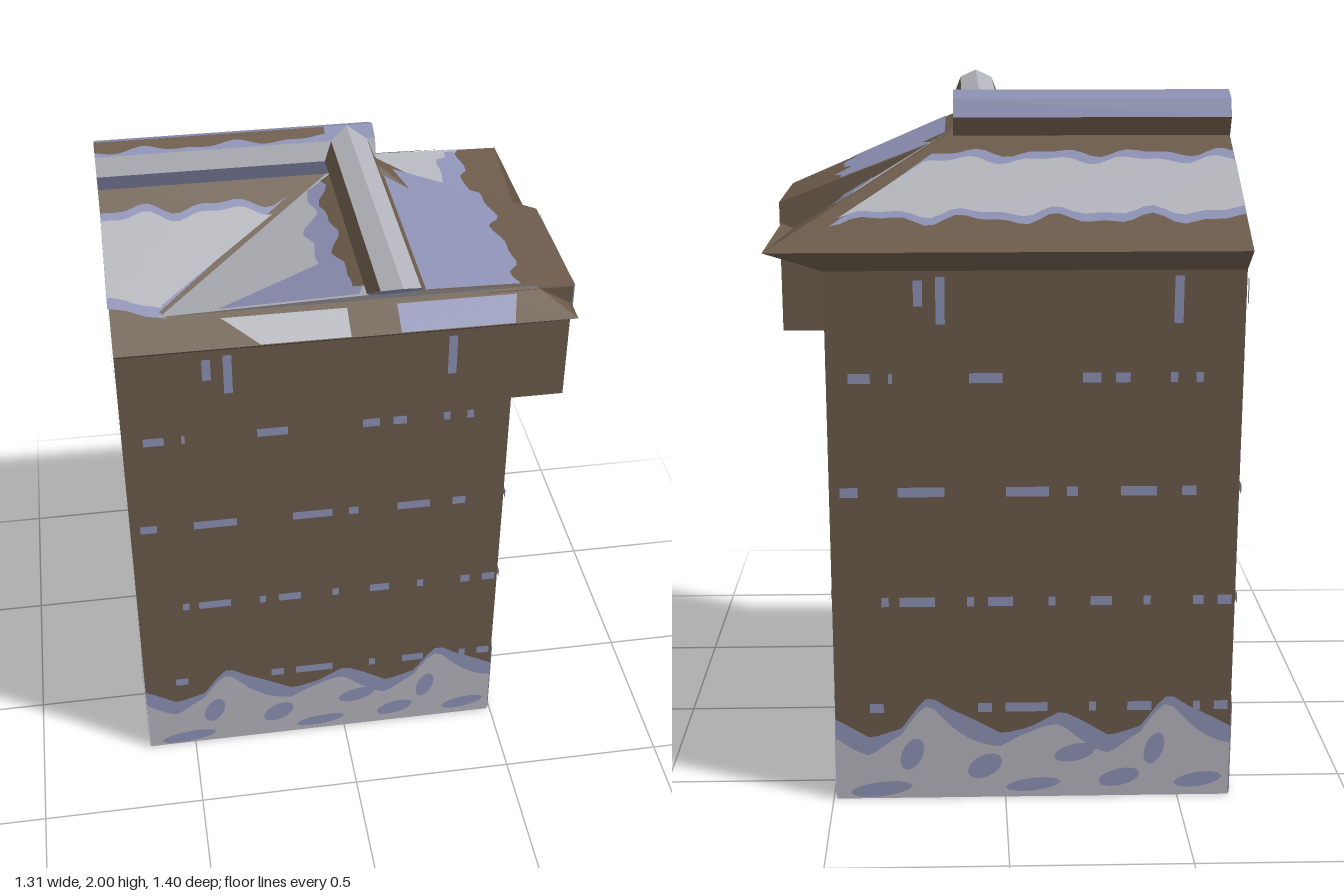
import * as THREE from 'three';

const paint = (name, color) => Object.assign(new THREE.MeshStandardMaterial({ color, side: THREE.DoubleSide }), { name });

export function createModel() {
  const brown = paint('weathered brown', 0x6a5949);
  const light = paint('pale snow', 0xb2b2ba);
  const blue = paint('blue snow', 0x8b8fb2);
  const model = new THREE.Group();
  model.name = 'snowyHouse';

  const add = (name, geo, mat, parent = model) => {
    const mesh = new THREE.Mesh(geo, mat);
    mesh.name = name;
    parent.add(mesh);
    return mesh;
  };
  const box = (name, mat, x0, x1, y0, y1, z0, z1) =>
    add(name, new THREE.BoxGeometry(x1 - x0, y1 - y0, z1 - z0)
      .translate((x0 + x1) / 2, (y0 + y1) / 2, (z0 + z1) / 2), mat);
  // Flat polygons given as corner lists
  const faces = (name, mat, ...polys) => {
    const pos = [];
    for (const p of polys)
      for (let i = 1; i < p.length - 1; i++) pos.push(...p[0], ...p[i], ...p[i + 1]);
    const geo = new THREE.BufferGeometry();
    geo.setAttribute('position', new THREE.Float32BufferAttribute(pos, 3));
    geo.computeVertexNormals();
    return add(name, geo, mat);
  };
  const outline = (pts) => new THREE.ShapeGeometry(new THREE.Shape(pts.map(([a, b]) => new THREE.Vector2(a, b))));
  // Irregular edge from a to b, wobbling sideways
  const wavy = (a, b, amp, seed, n = 16) => Array.from({ length: n + 1 }, (_, i) => {
    const t = i / n, dx = b[0] - a[0], dy = b[1] - a[1], len = Math.hypot(dx, dy);
    const w = amp * (Math.sin(len * t * 26 + seed) * 0.6 + Math.sin(len * t * 47 + seed * 2.3) * 0.4);
    return [a[0] + dx * t - dy / len * w, a[1] + dy * t + dx / len * w];
  });
  // Thin paint laid on a roof plane: points are (x, z), h gives the height
  const patch = (name, mat, pts, h, layer = 1) => {
    const geo = outline(pts.map(([x, z]) => [x, -z]));
    const p = geo.attributes.position;
    for (let i = 0; i < p.count; i++) {
      const x = p.getX(i), z = -p.getY(i);
      p.setXYZ(i, x, h(x, z) + 0.003 * layer, z);
    }
    geo.computeVertexNormals();
    add(name, geo, mat);
  };

  // Walls and the side bay
  box('walls', brown, -0.65, 0.49, 0.004, 1.6, -0.61, 0.24);
  box('sideBay', brown, 0.4, 0.645, 1.3, 1.67, -0.185, 0.2401);

  // Snow drifts, mortar flecks and icicles on the walls
  const drift = [[0, 0.32], [0.06, 0.28], [0.12, 0.25], [0.21, 0.2], [0.29, 0.22], [0.38, 0.27],
    [0.44, 0.24], [0.52, 0.19], [0.61, 0.22], [0.66, 0.29], [0.69, 0.32]];
  const driftTop = (u) => {
    const t = (((u + 0.38) % 0.69) + 0.69) % 0.69;
    const i = Math.max(1, drift.findIndex((d) => d[0] >= t));
    const [a, b] = [drift[i - 1], drift[i]];
    return a[1] + (b[1] - a[1]) * (t - a[0]) / (b[0] - a[0]);
  };
  const flecks = {
    0.285: [[-0.55, -0.51], [-0.24, -0.2], [-0.16, -0.04], [0.08, 0.1], [0.19, 0.26], [0.38, 0.4], [0.44, 0.48]],
    0.61: [[-0.51, -0.49], [-0.46, -0.36], [-0.27, -0.25], [-0.21, -0.14], [-0.04, -0.02], [0.08, 0.14], [0.23, 0.25], [0.37, 0.4], [0.44, 0.48]],
    0.935: [[-0.62, -0.57], [-0.46, -0.33], [-0.16, -0.04], [0.01, 0.04], [0.16, 0.26], [0.33, 0.37]],
    1.26: [[-0.59, -0.53], [-0.48, -0.47], [-0.26, -0.17], [0.05, 0.1], [0.14, 0.18], [0.29, 0.31], [0.36, 0.38]],
  };
  const icicles = [[-0.41, 1.46, 1.53], [-0.35, 1.41, 1.54], [0.295, 1.41, 1.54]];
  const blots = [[-0.52, 0.03, 0.09, 0.025], [-0.43, 0.14, 0.035, 0.05], [-0.22, 0.1, 0.05, 0.04], [-0.08, 0.04, 0.08, 0.022],
    [0.04, 0.14, 0.06, 0.03], [0.17, 0.06, 0.06, 0.03], [0.27, 0.15, 0.03, 0.05], [0.4, 0.05, 0.07, 0.025]];
  const dressWall = (side, pos, turn, u0, u1) => {
    const wall = new THREE.Group();
    wall.name = side + 'WallSnow';
    wall.position.set(...pos);
    wall.rotation.y = turn;
    model.add(wall);
    const plate = (name, mat, pts, z) => add(name, outline(pts.map(([u, y]) => [u - u0, y])).translate(0, 0, z), mat, wall);
    const band = (top) => {
      const n = 48, pts = [[u1, 0], [u0, 0]];
      for (let i = 0; i <= n; i++) { const u = u0 + (u1 - u0) * i / n; pts.push([u, top(u)]); }
      return pts;
    };
    const rect = (name, a, b, y0, y1) => {
      const l = Math.max(a, u0), r = Math.min(b, u1);
      if (r > l) plate(name, blue, [[l, y0], [r, y0], [r, y1], [l, y1]], 0.006);
    };
    plate('driftEdge', blue, band(driftTop), 0.002);
    plate('drift', light, band((u) => driftTop(u) - 0.04 - 0.025 * Math.sin(u * 18.2)), 0.004);
    for (const [u, y, rx, ry] of blots) {
      if (u - rx < u0 || u + rx > u1) continue;
      plate('driftShade', blue, Array.from({ length: 12 }, (_, i) => {
        const a = i * Math.PI / 6;
        return [u + rx * Math.cos(a), Math.max(0, y + ry * Math.sin(a + 0.4))];
      }), 0.006);
    }
    for (const [y, row] of Object.entries(flecks))
      for (const [a, b] of row) rect('snowFleck', a, b, +y - 0.014, +y + 0.014);
    for (const [u, y0, y1] of icicles) rect('icicle', u, u + 0.025, y0, y1);
  };
  dressWall('front', [-0.65, 0, 0.24], 0, -0.65, 0.49);
  dressWall('right', [0.49, 0, 0.24], Math.PI / 2, -0.4, 0.45);
  dressWall('back', [0.49, 0, -0.61], Math.PI, -0.65, 0.49);
  dressWall('left', [-0.65, 0, -0.61], -Math.PI / 2, -0.4, 0.45);

  // Underside
  const floor = (name, mat, x0, x1, z0, z1, y) =>
    faces(name, mat, [[x0, y, z0], [x1, y, z0], [x1, y, z1], [x0, y, z1]]);
  floor('floor', light, -0.65, 0.49, -0.61, 0.24, 0.002);
  floor('floorPatch', brown, -0.4, 0, -0.56, -0.44, 0);
  floor('floorPatch', brown, 0.02, 0.38, -0.2, -0.08, 0);

  // Main roof: ridge along x, hipped at one end, cut flat at the other
  const ridgeZ = -0.185, Y = 1.9, eave = 1.62, sy = 1.555;
  const R0 = [-0.65, Y, ridgeZ], R1 = [0.12, Y, ridgeZ], M = [0.64, 1.585, ridgeZ];
  const BL = [-0.65, eave, -0.7], BR = [0.64, eave, -0.7], FR = [0.64, eave, 0.33], FL = [-0.65, eave, 0.33];
  const bl = [-0.65, sy, -0.61], br = [0.49, sy, -0.61], fr = [0.49, sy, 0.24], fl = [-0.65, sy, 0.24];
  faces('mainRoof', brown, [R0, R1, BR, BL], [R1, M, BR], [R1, FR, M], [R0, FL, FR, R1],
    [BL, BR, br, bl], [BR, M, FR, fr, br], [FR, FL, fl, fr], [bl, fl, FL, R0, BL]);

  // Cross gable with a prow leaning out over the front
  const gx = 0.065;
  const A = [gx, Y, ridgeZ], P = [gx, Y, 0.556], L = [-0.515, 1.68, 0.24], E = [0.645, 1.68, 0.24], K = [0.645, 1.68, ridgeZ];
  faces('gableRightSlope', brown, [A, P, E, K], [A, K, [0.645, 1.585, ridgeZ], [gx, 1.585, ridgeZ]]);
  faces('gableLeftSlope', light, [A, L, P]);
  faces('prow', light, [L, E, P]);

  // Snow on the roof planes
  const slope = (Y - eave) / 0.515;
  const main = (x, z) => Y - slope * Math.abs(z - ridgeZ);
  const hip = (x, z) => Y - 0.606 * (x - 0.12) - 0.068 * (z - ridgeZ);
  const gable = (x) => Y - 0.379 * Math.abs(x - gx);
  patch('backSnowEdge', blue, [...wavy([-0.65, -0.58], [0.47, -0.58], 0.025, 1, 40), ...wavy([0.2, -0.31], [-0.65, -0.31], 0.02, 2, 34)], main);
  patch('backSnow', light, [...wavy([-0.65, -0.55], [0.45, -0.56], 0.022, 1, 40), ...wavy([0.22, -0.345], [-0.65, -0.345], 0.02, 2, 34)], main, 2);
  patch('hipSnow', light, [[0.13, -0.195], [0.48, -0.54], ...wavy([0.42, -0.4], [0.42, -0.195], 0.025, 3, 8)], hip);
  patch('hipSnowEdge', blue, [...wavy([0.46, -0.5], [0.46, -0.19], 0.02, 3, 10), ...wavy([0.36, -0.19], [0.4, -0.46], 0.02, 1, 10)], hip, 2);
  patch('frontSnowEdge', blue, [...wavy([-0.65, -0.07], [-0.12, -0.07], 0.02, 2, 24), [-0.515, 0.22], ...wavy([-0.5, 0.25], [-0.65, 0.19], 0.015, 1, 6)], main);
  patch('frontSnow', light, [...wavy([-0.65, -0.045], [-0.17, -0.045], 0.02, 2, 24), [-0.515, 0.21], ...wavy([-0.51, 0.22], [-0.65, 0.165], 0.012, 1, 6)], main, 2);
  patch('eaveSnow', light, [[-0.35, 0.25], [0, 0.25], [0, 0.33], [-0.25, 0.33]], main);
  patch('eaveSnowShade', blue, [[0.14, 0.25], [0.48, 0.25], [0.46, 0.33], [0.14, 0.33]], main);
  patch('gableSnow', blue, [[0.165, -0.18], ...wavy([0.47, -0.18], [0.47, 0.33], 0.025, 2, 20), [0.165, 0.5]], gable);
  patch('gableLeftShade', blue, [...wavy([-0.06, -0.08], [-0.1, 0.3], 0.025, 2, 14), [-0.36, 0.32], [-0.01, 0.51], [0.03, 0.4], [0.03, -0.13]], gable);
  patch('gableLeftBoards', brown, [...wavy([-0.03, -0.1], [-0.03, 0.47], 0.02, 4, 18), [0.03, 0.5], [0.03, -0.13]], gable, 2);

  // Snow cap hanging on the outer face of the bay
  for (const [name, mat, y, x] of [['baySnowEdge', blue, 1.56, 0.647], ['baySnow', light, 1.595, 0.649]]) {
    const pts = [[-0.24, 1.675], ...wavy([-0.24, y], [0.16, y + 0.05], 0.035, 3.5, 20), [0.16, 1.675]];
    const cap = add(name, outline(pts), mat);
    cap.rotation.y = Math.PI / 2;
    cap.position.x = x;
  }

  // Eight-sided ridge logs, one colour per side
  const log = (name, length, sides, shape) => {
    const geo = shape(new THREE.CylinderGeometry(0.072, 0.072, length, 8)).toNonIndexed();
    geo.clearGroups();
    sides.forEach((m, i) => geo.addGroup(i * 6, 6, m));
    geo.addGroup(48, 48, 2);
    geo.computeVertexNormals();
    add(name, geo, [brown, light, blue]);
  };
  log('ridgeLog', 0.79, [2, 2, 0, 0, 2, 2, 2, 1], (g) => g.rotateZ(-Math.PI / 2).translate(-0.255, 1.928, ridgeZ));
  log('gableLog', 1, [2, 2, 0, 1, 1, 0, 2, 2], (g) => {
    g.rotateX(Math.PI / 2).translate(gx, 1.928, 0);
    const p = g.attributes.position;
    for (let i = 0; i < p.count; i++)
      p.setZ(i, p.getZ(i) > 0 ? 0.24 + (p.getY(i) - 1.68) * 1.4375 : ridgeZ);
    return g;
  });
  patch('ridgeLogBoards', brown, [[-0.65, -0.184], [0, -0.184], ...wavy([0, -0.15], [-0.65, -0.15], 0.012, 1, 30)],
    (x, z) => 1.997 - 0.414 * (z - ridgeZ));

  return model;
}
